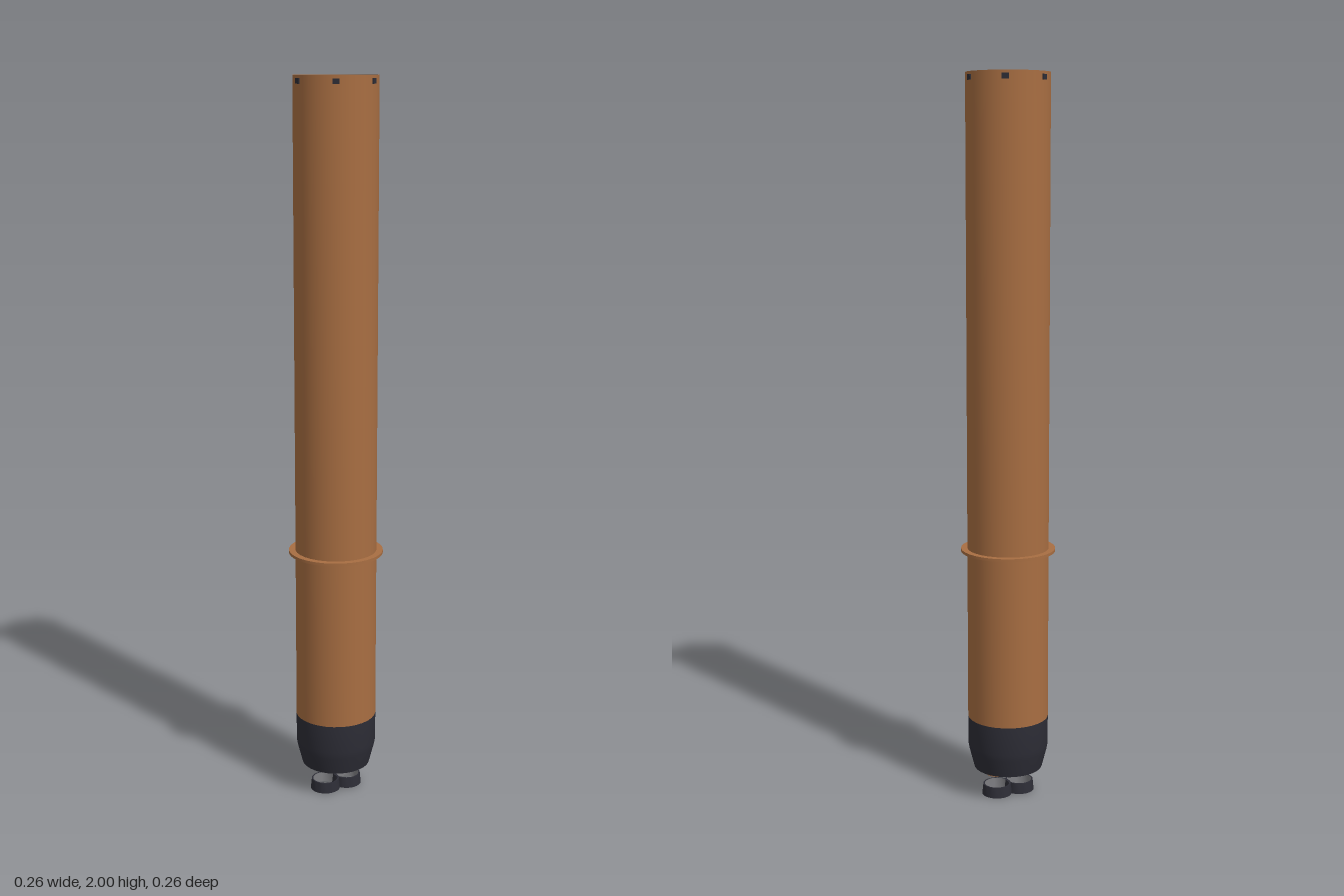
import * as THREE from 'three';
import { toCreasedNormals } from 'three/addons/utils/BufferGeometryUtils.js';

const mat = (name, color, side = THREE.FrontSide) => {
  const m = new THREE.MeshStandardMaterial({ color, side });
  m.name = name;
  return m;
};

export function createModel() {
  const group = new THREE.Group();
  const copper = mat('copper', 0xa86e42);
  const dark = mat('charcoal', 0x2d2d36);
  const grey = mat('steel grey', 0x808084);

  // profile runs up the outside and down the inside
  const turned = (name, profile, material, x = 0, sides = 32) => {
    const points = profile.map(([r, y]) => new THREE.Vector2(r, y));
    const geometry = toCreasedNormals(new THREE.LatheGeometry(points, sides), 0.6);
    const mesh = new THREE.Mesh(geometry, material);
    mesh.name = name;
    mesh.position.x = x;
    group.add(mesh);
    return mesh;
  };

  // long open tube
  turned('tube', [[0.113, 0.23], [0.113, 2], [0.11, 2], [0.11, 0.23]], copper);

  // thin flange around the tube
  turned('flange', [[0.112, 0.709], [0.131, 0.709], [0.131, 0.717], [0.112, 0.717]], copper);

  // tapered hollow skirt, closed by the floor of the tube
  turned('skirt', [
    [0, 0.16], [0.1, 0.16], [0.105, 0.13], [0.091, 0.08], [0.096, 0.08],
    [0.109, 0.13], [0.113, 0.15], [0.113, 0.23], [0, 0.23],
  ], dark);

  // six latch blocks round the open rim
  for (let i = 0; i < 6; i++) {
    const a = i * Math.PI / 3;
    const latch = new THREE.Mesh(new THREE.BoxGeometry(0.007, 0.014, 0.018), dark);
    latch.name = 'rimLatch';
    latch.position.set(0.1115 * Math.cos(a), 1.985, 0.1115 * Math.sin(a));
    latch.rotation.y = -a;
    group.add(latch);
  }

  // paired ports, nozzles and loose outlet rings
  for (const side of [-1, 1]) {
    const x = side * 0.033;
    turned('portCollar', [[0.019, 0.23], [0.019, 0.236], [0.015, 0.238], [0, 0.238]], dark, x, 24);
    turned('port', [[0.016, 0.237], [0.015, 0.242], [0, 0.242]], grey, x, 24);
    turned('nozzle', [
      [0.024, 0.16], [0.024, 0.15], [0.03, 0.11], [0.036, 0.062], [0.033, 0.062], [0.022, 0.15], [0, 0.15],
    ].reverse(), copper, x, 24).material = copperBoth(copper);
    turned('outletRing', [[0.042, 0], [0.039, 0.03], [0.035, 0.03]], dark, x * 1.06, 24);
    turned('outletLining', [[0.035, 0.03], [0.036, 0], [0.042, 0]], grey, x * 1.06, 24);
  }
  return group;

  // the nozzle shell is seen from inside and outside
  function copperBoth(base) {
    base.side = THREE.DoubleSide;
    return base;
  }
}
